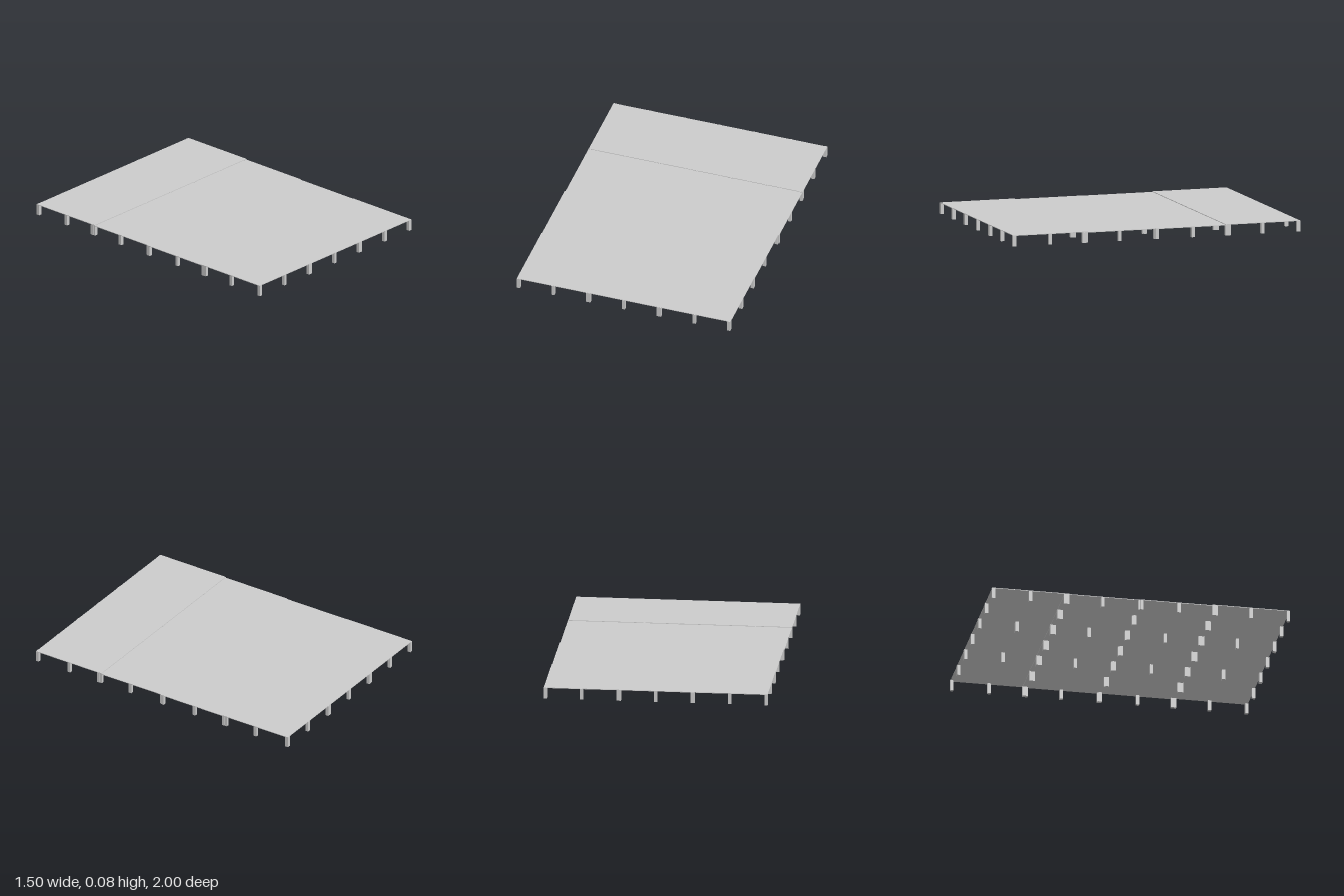
import * as THREE from 'three';

// Low modular platform: four strips of three panels, each panel on eight square posts
export function createModel() {
  const group = new THREE.Group();
  group.name = 'platform';
  const material = new THREE.MeshStandardMaterial({ color: 0xcccccc, flatShading: true });

  const post = 0.022, thickness = 0.004;
  const panelW = 0.504, panelD = 0.522, pitch = 0.4905;

  function box(name, w, h, d, x, y, z, parent) {
    const mesh = new THREE.Mesh(new THREE.BoxGeometry(w, h, d), material);
    mesh.name = name;
    mesh.position.set(x, y, z);
    parent.add(mesh);
  }

  // Strip centre x, centre z and top height; the end strips overlap the inner ones from above
  const strips = [
    ['backStrip', 0.005, -0.739, 0.075],
    ['innerBackStrip', 0.003, -0.255, 0.071],
    ['innerFrontStrip', -0.003, 0.255, 0.071],
    ['frontStrip', -0.005, 0.739, 0.075],
  ];

  for (const [name, cx, cz, top] of strips) {
    const strip = new THREE.Group();
    strip.name = name;
    strip.position.set(cx, 0, cz);
    group.add(strip);

    // Thin deck, set back slightly from the post faces
    box('deck', panelW + 2 * pitch, thickness, panelD - 0.006, 0, top - thickness / 2, 0, strip);

    // Posts at the corners and edge middles of each panel
    const postH = top - 0.001;
    for (let p = -1; p <= 1; p++) {
      for (let i = -1; i <= 1; i++) {
        for (let j = -1; j <= 1; j++) {
          if (i === 0 && j === 0) continue;
          const x = p * pitch + i * (panelW - post) / 2;
          box('post', post, postH, post, x, postH / 2, j * (panelD - post) / 2, strip);
        }
      }
    }
  }
  return group;
}
